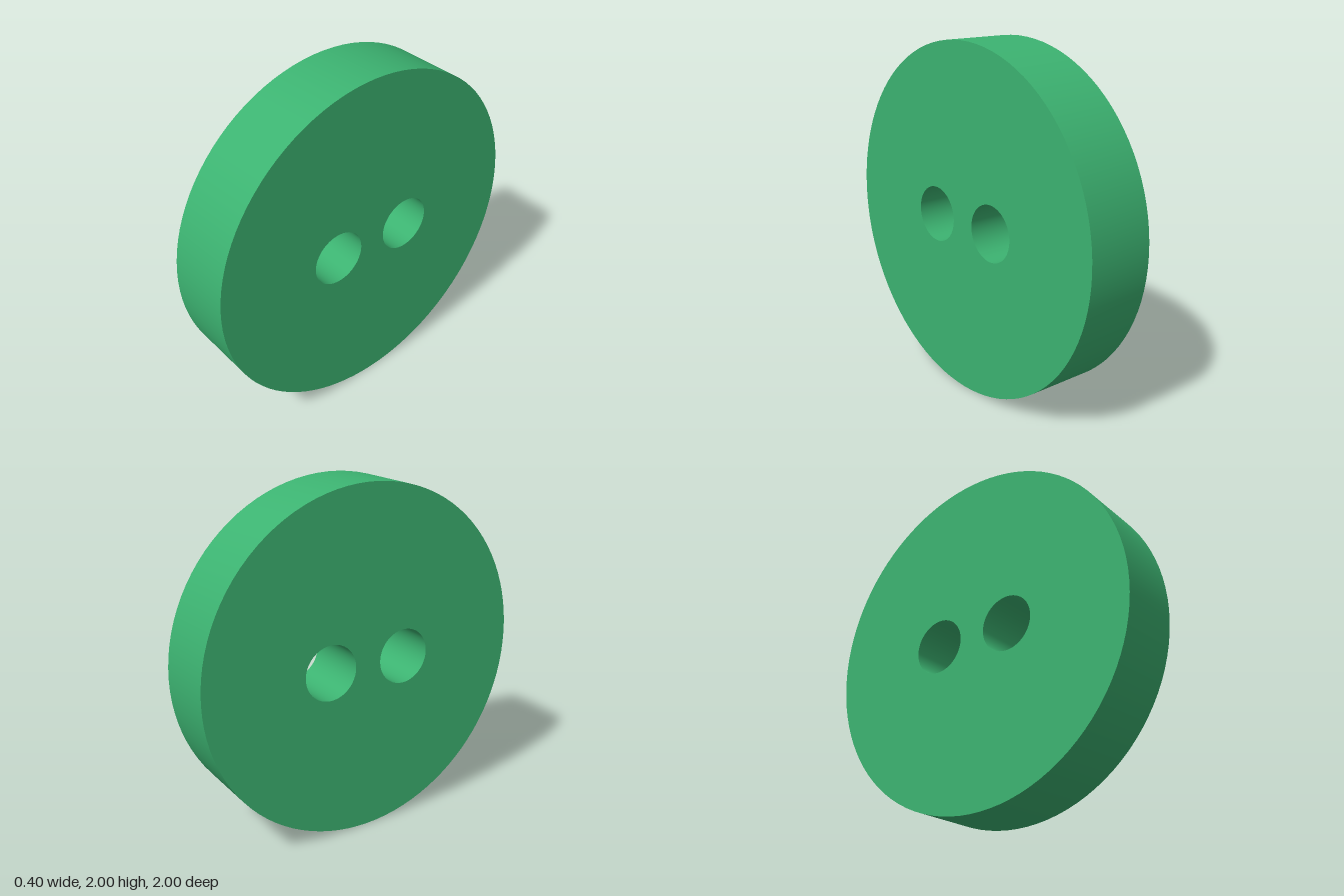
import * as THREE from 'three';
import { toCreasedNormals } from 'three/addons/utils/BufferGeometryUtils.js';

const RADIUS = 1;
const THICKNESS = 0.4;
const HOLE_RADIUS = 0.16;
const HOLE_OFFSET = 0.24;

export function createModel() {
  const group = new THREE.Group();
  group.name = 'button';

  // Round outline with two thread holes
  const outline = new THREE.Shape().absarc(0, 0, RADIUS, 0, Math.PI * 2, false);
  for (const side of [-1, 1]) {
    outline.holes.push(new THREE.Path().absarc(side * HOLE_OFFSET, 0, HOLE_RADIUS, 0, Math.PI * 2, true));
  }

  // Disc with its axis along x, standing on its rim
  const extruded = new THREE.ExtrudeGeometry(outline, {
    depth: THICKNESS,
    bevelEnabled: false,
    curveSegments: 48,
  });
  extruded.translate(0, 0, -THICKNESS / 2);
  extruded.rotateY(Math.PI / 2);

  const disc = new THREE.Mesh(
    toCreasedNormals(extruded, Math.PI / 6),
    new THREE.MeshStandardMaterial({ color: 0x3cb371 })
  );
  disc.name = 'buttonDisc';
  disc.position.y = RADIUS;
  group.add(disc);

  return group;
}
